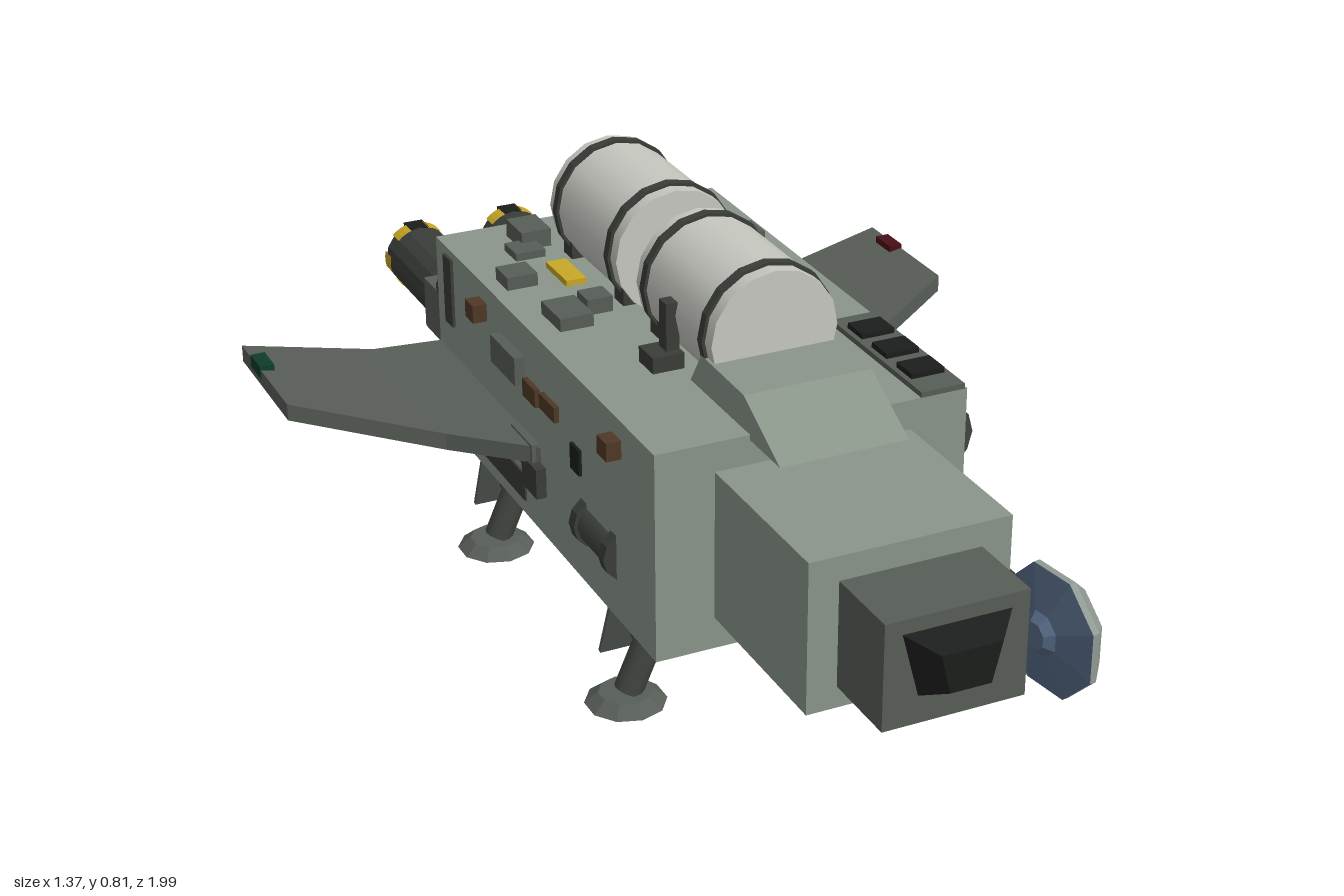
import * as THREE from 'three';

const mat = (color, flat = true) =>
  new THREE.MeshStandardMaterial({ color, flatShading: flat, side: THREE.DoubleSide });
const HULL = mat(0x8a958a), GREY = mat(0x575d57), DARK = mat(0x3a3d38), BLACK = mat(0x1b1e1c);
const YELLOW = mat(0xc9a727), BROWN = mat(0x4f3826), BLUE = mat(0x566a86), RIM = mat(0x8f9a92);
const RED = mat(0x4a1018), GREEN = mat(0x0f3d2a);
const TANK = mat(0xc6c8c0, false), METAL = mat(0x41443e, false);

export function createModel() {
  const model = new THREE.Group();

  const add = (name, geo, material, parent = model) => {
    const m = new THREE.Mesh(geo, material);
    m.name = name;
    parent.add(m);
    return m;
  };
  // Box given by its limits
  const box = (name, material, x0, x1, y0, y1, z0, z1, parent) =>
    add(name, new THREE.BoxGeometry(x1 - x0, y1 - y0, z1 - z0)
      .translate((x0 + x1) / 2, (y0 + y1) / 2, (z0 + z1) / 2), material, parent);
  // Cylinder from a to b with a radius at each end
  const rod = (name, material, a, b, ra, rb = ra, sides = 12, parent = model) => {
    const p = new THREE.Vector3(...a), q = new THREE.Vector3(...b);
    const m = add(name, new THREE.CylinderGeometry(rb, ra, p.distanceTo(q), sides), material, parent);
    m.position.copy(p).add(q).multiplyScalar(0.5);
    m.quaternion.setFromUnitVectors(new THREE.Vector3(0, 1, 0), q.sub(p).normalize());
    return m;
  };
  // Side outline in (z, y), extruded across the given width
  const slab = (name, material, pts, width) =>
    add(name, new THREE.ExtrudeGeometry(new THREE.Shape(pts.map(([z, y]) => new THREE.Vector2(-z, y))),
      { depth: width, bevelEnabled: false }).translate(0, 0, -width / 2).rotateY(Math.PI / 2), material);

  // Hull, neck and cockpit
  box('hull', HULL, -0.295, 0.295, 0.19, 0.585, -0.61, 0.41);
  box('neck', HULL, -0.185, 0.185, 0.25, 0.53, 0.40, 0.75);
  box('cockpit', GREY, -0.13, 0.13, 0.29, 0.485, 0.74, 0.9);
  const glass = new THREE.BoxGeometry(0.2, 0.12, 0.05);
  const gp = glass.attributes.position;
  for (let i = 0; i < gp.count; i++) {
    let x = gp.getX(i), y = gp.getY(i);
    if (y < 0) x *= 0.68;
    if (gp.getZ(i) > 0) { x *= 0.55; y *= 0.6; }
    gp.setXY(i, x, y);
  }
  glass.computeVertexNormals();
  add('windscreen', glass, BLACK).position.set(0, 0.4, 0.923);
  slab('roofFairing', HULL, [[0.52, 0.575], [0.385, 0.647], [0.22, 0.65], [0.17, 0.575]], 0.24);

  // Roof tanks with straps and saddles
  for (const z of [0.105, -0.295]) {
    rod('tank', TANK, [0, 0.68, z + 0.155], [0, 0.68, z - 0.155], 0.12, 0.12, 16);
    for (const d of [0.12, -0.12]) {
      rod('tankStrap', DARK, [0, 0.68, z + d + 0.009], [0, 0.68, z + d - 0.009], 0.126, 0.126, 16);
      box('tankSaddle', DARK, -0.1, 0.1, 0.58, 0.62, z + d - 0.02, z + d + 0.02);
    }
  }
  rod('tankLink', TANK, [0, 0.68, -0.04], [0, 0.68, -0.15], 0.05);

  // Roof fittings on both sides
  for (const s of [-1, 1]) {
    const roof = (m, x, z, w, d, h) =>
      box('roofFitting', m, s * x - w / 2, s * x + w / 2, 0.58, 0.585 + h, z - d / 2, z + d / 2);
    roof(GREY, 0.14, -0.515, 0.06, 0.08, 0.035);
    roof(GREY, 0.17, -0.46, 0.06, 0.06, 0.015);
    roof(GREY, 0.235, -0.34, 0.06, 0.06, 0.025);
    roof(GREY, 0.215, -0.145, 0.065, 0.09, 0.025);
    roof(YELLOW, 0.14, -0.33, 0.04, 0.1, 0.012);
    roof(GREY, 0.15, -0.17, 0.05, 0.05, 0.03);
    roof(DARK, 0.14, 0.1, 0.06, 0.06, 0.03);
    roof(DARK, 0.125, 0.1, 0.025, 0.03, 0.12);
  }
  box('ventPanel', GREY, 0.205, 0.29, 0.58, 0.595, 0.08, 0.41);
  for (const z of [0.15, 0.24, 0.33])
    box('vent', BLACK, 0.215, 0.28, 0.59, 0.605, z - 0.027, z + 0.027);

  // Engine block, cross pipe and three engines
  box('engineBlock', GREY, -0.275, 0.275, 0.335, 0.44, -0.75, -0.6);
  rod('crossPipe', METAL, [-0.28, 0.455, -0.65], [0.28, 0.455, -0.65], 0.016);
  box('pipeRail', DARK, -0.27, 0.27, 0.44, 0.47, -0.63, -0.6);
  for (const x of [-0.26, -0.1, 0.1, 0.26])
    rod('pipeClamp', DARK, [x - 0.015, 0.455, -0.65], [x + 0.015, 0.455, -0.65], 0.023);
  const wall = [[0.02, 0], [0.066, 0], [0.066, 0.235], [0.045, 0.235], [0.035, 0.2], [0, 0.2]]
    .map(p => new THREE.Vector2(...p));
  for (const x of [-0.207, 0, 0.207]) {
    const engine = new THREE.Group();
    engine.name = 'engine';
    engine.position.set(x, 0.39, -0.75);
    engine.rotation.x = -Math.PI / 2;
    model.add(engine);
    add('engineBarrel', new THREE.LatheGeometry(wall, 16), DARK, engine);
    rod('engineCore', BROWN, [0, 0.19, 0], [0, 0.225, 0], 0.025, 0.02, 10, engine);
    for (let i = 0; i < 6; i++)
      add('hazardStripe', new THREE.CylinderGeometry(0.0685, 0.0685, 0.035, 3, 1, true,
        i * Math.PI / 3 + 0.25, 0.5).translate(0, 0.22, 0), YELLOW, engine);
    box('engineLatch', BLACK, -0.02, 0.02, 0.21, 0.25, 0.045, 0.066, engine);
  }

  // Wings: flat inner panel, raised outer panel
  const panel = (name, s, pts, rise) => {
    const geo = new THREE.ExtrudeGeometry(
      new THREE.Shape(pts.map(([x, z]) => new THREE.Vector2(s * x, -z))),
      { depth: 0.033, bevelEnabled: false }).rotateX(-Math.PI / 2).translate(0, 0.333, 0);
    const p = geo.attributes.position;
    for (let i = 0; i < p.count; i++) p.setY(i, p.getY(i) + rise * (Math.abs(p.getX(i)) - 0.43));
    geo.computeVertexNormals();
    add(name, geo, GREY);
  };
  for (const s of [-1, 1]) {
    panel('wingRoot', s, [[0.28, -0.08], [0.43, -0.22], [0.43, -0.625], [0.28, -0.607]], 0);
    panel('wingTip', s, [[0.43, -0.22], [0.685, -0.362], [0.685, -0.643], [0.43, -0.625]], 0.2);
    box('wingLight', s > 0 ? RED : GREEN, s * 0.673 - 0.014, s * 0.673 + 0.014, 0.4, 0.425, -0.58, -0.52);
  }

  // Side panels, boxes and drums
  const fittings = [
    [DARK, 0.22, 0.275, -0.52, -0.17, 0.004], [DARK, 0.275, 0.335, -0.14, -0.07, 0.02],
    [GREY, 0.31, 0.37, -0.2, -0.1, 0.015], [BROWN, 0.46, 0.49, -0.07, 0, 0.01],
    [BROWN, 0.45, 0.485, -0.15, -0.09, 0.01], [GREY, 0.465, 0.52, -0.28, -0.16, 0.02],
    [BROWN, 0.515, 0.55, -0.385, -0.345, 0.028], [BROWN, 0.515, 0.55, 0.235, 0.275, 0.028],
    [DARK, 0.43, 0.57, -0.56, -0.52, 0.006], [BLACK, 0.4, 0.45, 0.06, 0.1, 0.006],
  ];
  for (const s of [-1, 1]) {
    for (const [m, y0, y1, z0, z1, out] of fittings)
      box('sideFitting', m, s * 0.295 - out, s * 0.295 + out, y0, y1, z0, z1);
    rod('sideDrum', METAL, [s * 0.27, 0.31, 0.245], [s * 0.27, 0.31, 0.095], 0.043);
    for (const z of [0.235, 0.105])
      rod('drumBand', DARK, [s * 0.27, 0.31, z + 0.012], [s * 0.27, 0.31, z - 0.012], 0.05);
  }

  // Flared side gun on the left
  rod('gunFlare', METAL, [0.322, 0.42, 0.275], [0.322, 0.42, 0.17], 0.07, 0.025);
  rod('gunBore', BROWN, [0.322, 0.42, 0.27], [0.322, 0.42, 0.277], 0.022);
  rod('gunBarrel', METAL, [0.322, 0.42, 0.18], [0.322, 0.42, -0.3], 0.02);
  rod('gunPivot', METAL, [0.285, 0.42, -0.3], [0.35, 0.42, -0.3], 0.04);
  box('gunBracket', YELLOW, 0.295, 0.36, 0.41, 0.46, 0.095, 0.125);
  box('gunMount', GREY, 0.29, 0.325, 0.39, 0.45, -0.25, -0.1);

  // Dish on its arm
  box('armBase', GREY, 0.18, 0.205, 0.355, 0.42, 0.515, 0.57);
  rod('dishArm', METAL, [0.195, 0.39, 0.55], [0.19, 0.39, 0.87], 0.009);
  rod('armJoint', METAL, [0.197, 0.39, 0.72], [0.197, 0.39, 0.69], 0.02);
  const dish = new THREE.Group();
  dish.name = 'dish';
  dish.position.set(0.175, 0.39, 0.888);
  dish.rotation.set(0, 0.14, -Math.PI / 2, 'YXZ');
  model.add(dish);
  const lathe = (name, m, pts) => add(name, new THREE.LatheGeometry(
    pts.map(p => new THREE.Vector2(...p)), 8, Math.PI / 8), m, dish);
  lathe('dishRim', RIM, [[0.115, 0], [0.115, 0.012], [0.084, 0.043]]);
  lathe('dishDome', BLUE, [[0.084, 0.043], [0.05, 0.066], [0, 0.08]]);
  lathe('dishBack', BLUE, [[0.115, 0], [0.04, -0.016], [0.025, -0.03], [0, -0.03]]);

  // Chin gun
  rod('chinGun', METAL, [0, 0.217, 0.54], [0, 0.217, 0.76], 0.013);
  rod('chinGunTip', YELLOW, [0, 0.217, 0.755], [0, 0.217, 0.772], 0.015);
  box('chinMount', GREY, -0.012, 0.012, 0.215, 0.255, 0.58, 0.63);

  // Landing legs with feet, mounts and bay doors
  for (const s of [-1, 1]) for (const z of [0.22, -0.41]) {
    rod('foot', GREY, [s * 0.27, 0, z], [s * 0.27, 0.02, z], 0.075, 0.05, 10);
    rod('legStrut', METAL, [s * 0.19, 0.19, z], [s * 0.265, 0.02, z], 0.027);
    rod('legSleeve', DARK, [s * 0.19, 0.19, z], [s * 0.225, 0.11, z], 0.034);
    box('legMount', DARK, s * 0.193 - 0.068, s * 0.193 + 0.068, 0.172, 0.195, z - 0.075, z + 0.08);
    for (const d of [-0.055, 0.055])
      box('mountStripe', YELLOW, s * 0.193 - 0.03, s * 0.193 + 0.03, 0.168, 0.174, z + d - 0.012, z + d + 0.012);
    const door = box('bayDoor', GREY, -0.0675, 0.0675, -0.085, 0.085, -0.004, 0.004);
    door.position.set(s * 0.193, 0.1, z - 0.108);
    door.rotation.x = 0.39;
  }
  return model;
}
